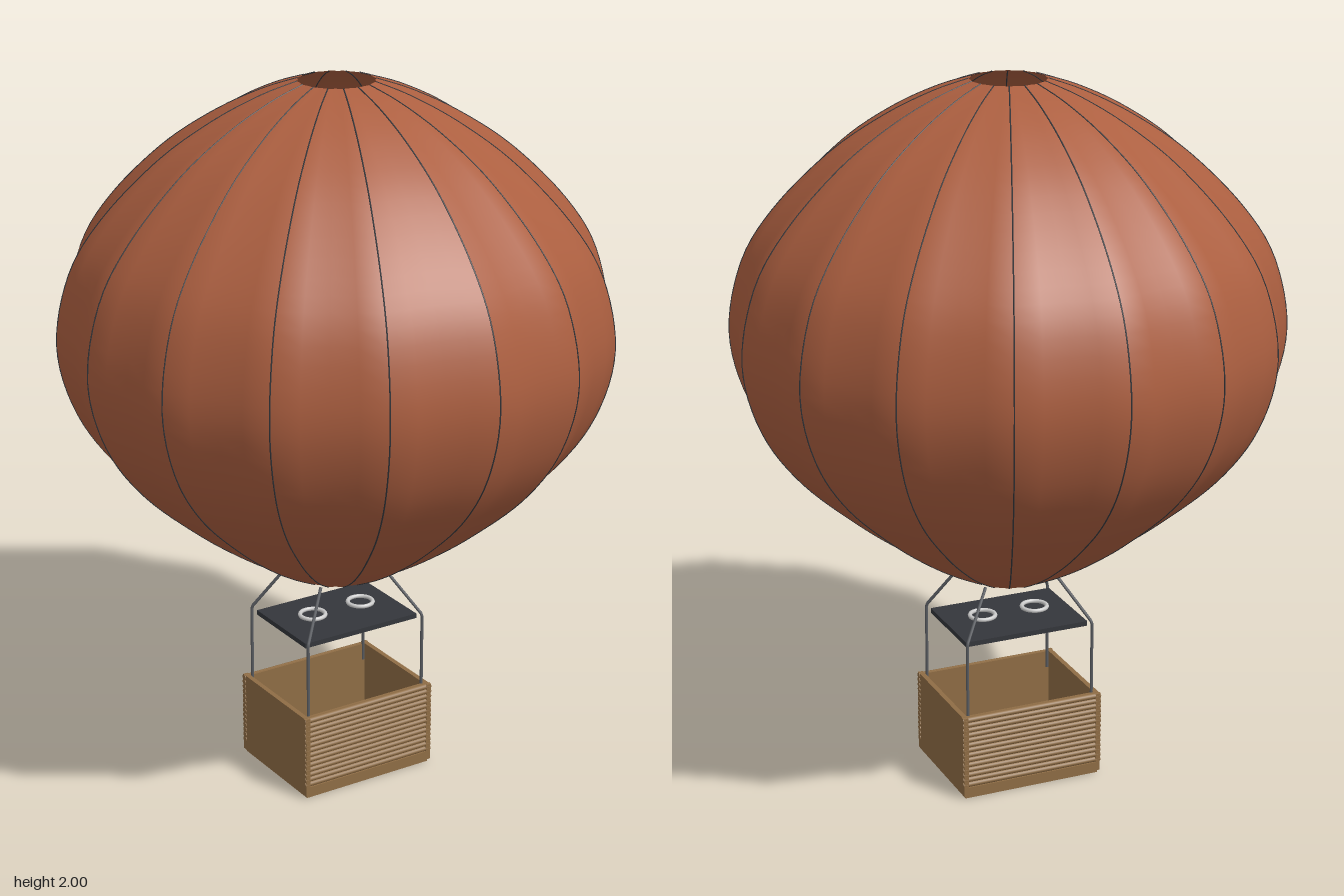
import * as THREE from 'three';

const GORES = 16;

function mat(color, side = THREE.FrontSide) {
  return new THREE.MeshStandardMaterial({ color, side });
}

function add(parent, name, geometry, material, x = 0, y = 0, z = 0) {
  const mesh = new THREE.Mesh(geometry, material);
  mesh.name = name;
  mesh.position.set(x, y, z);
  parent.add(mesh);
  return mesh;
}

// Envelope half-profile from mouth to crown: (radius, height)
const profile = new THREE.SplineCurve([
  [0.108, 0.587], [0.2, 0.635], [0.305, 0.7], [0.44, 0.8], [0.605, 0.95], [0.713, 1.11], [0.76, 1.3],
  [0.722, 1.5], [0.63, 1.65], [0.48, 1.8], [0.335, 1.9], [0.205, 1.965], [0.105, 2.0],
].map(([r, y]) => new THREE.Vector2(r, y)));

function buildEnvelope(fabric, dark) {
  const group = new THREE.Group();
  group.name = 'envelope';

  // Cloth: a lathe whose panels dip inward between the seams
  const cloth = new THREE.LatheGeometry(profile.getPoints(48), GORES * 4);
  const pos = cloth.attributes.position;
  for (let i = 0; i < pos.count; i++) {
    const x = pos.getX(i), z = pos.getZ(i);
    const dip = 0.985 + 0.015 * Math.cos(GORES * Math.atan2(x, z));
    pos.setX(i, x * dip);
    pos.setZ(i, z * dip);
  }
  cloth.computeVertexNormals();
  add(group, 'envelopeCloth', cloth, fabric);

  // Seam tapes running from mouth to crown
  const path = new THREE.CatmullRomCurve3(
    profile.getPoints(48).map((p) => new THREE.Vector3(p.x, p.y, 0)));
  const tape = new THREE.TubeGeometry(path, 60, 0.002, 5);
  for (let i = 0; i < GORES; i++) {
    add(group, 'seam', tape, dark).rotation.y = (i / GORES) * Math.PI * 2;
  }
  return group;
}

function buildBasket(wicker) {
  const group = new THREE.Group();
  group.name = 'basket';
  const H = 0.214, Y = 0.035 + H / 2;

  // Base with a narrower underside
  add(group, 'basketFloor', new THREE.BoxGeometry(0.42, 0.026, 0.344), wicker, 0, 0.022, 0);
  add(group, 'basketSkid', new THREE.BoxGeometry(0.408, 0.01, 0.332), wicker, 0, 0.005, 0);

  const sideWall = new THREE.BoxGeometry(0.014, H, 0.344);
  const longWall = new THREE.BoxGeometry(0.41, H, 0.014);
  const cane = new THREE.CylinderGeometry(0.0085, 0.0085, 0.424, 10).rotateZ(Math.PI / 2);
  const rows = 14;
  for (const s of [-1, 1]) {
    add(group, 'sideWall', sideWall, wicker, s * 0.203, Y, 0);
    add(group, 'longWall', longWall, wicker, 0, Y, s * 0.16);
    // Woven canes on the front and back
    for (let i = 0; i < rows; i++) {
      add(group, 'cane', cane, wicker, 0, 0.035 + (i + 0.5) * (H / rows), s * 0.164);
    }
  }
  return group;
}

function buildRigging(dark, poleGrey, steel) {
  const group = new THREE.Group();
  group.name = 'rigging';

  // Burner plate with two burner rings
  add(group, 'burnerPlate', new THREE.BoxGeometry(0.37, 0.014, 0.262), dark, 0, 0.454, 0);
  const ring = new THREE.TorusGeometry(0.036, 0.006, 8, 28).rotateX(Math.PI / 2);
  for (const s of [-1, 1]) add(group, 'burnerRing', ring, steel, s * 0.08, 0.474, 0);

  // Four corner poles, bent inward to the envelope mouth
  for (const sx of [-1, 1]) {
    for (const sz of [-1, 1]) {
      const path = new THREE.CurvePath();
      const foot = new THREE.Vector3(sx * 0.19, 0.2, sz * 0.152);
      const bend = new THREE.Vector3(sx * 0.19, 0.465, sz * 0.152);
      const top = new THREE.Vector3(sx * 0.108, 0.597, sz * 0.088);
      path.add(new THREE.LineCurve3(foot, bend));
      path.add(new THREE.LineCurve3(bend, top));
      add(group, 'pole', new THREE.TubeGeometry(path, 40, 0.0045, 8), poleGrey);
    }
  }
  return group;
}

export function createModel() {
  const model = new THREE.Group();
  model.name = 'hotAirBalloon';
  const dark = mat(0x34363b);
  model.add(
    buildEnvelope(mat(0xac5f40, THREE.DoubleSide), dark),
    buildRigging(dark, mat(0x5a5d62), mat(0xd0d2d4)),
    buildBasket(mat(0x8f6d45)),
  );
  return model;
}
